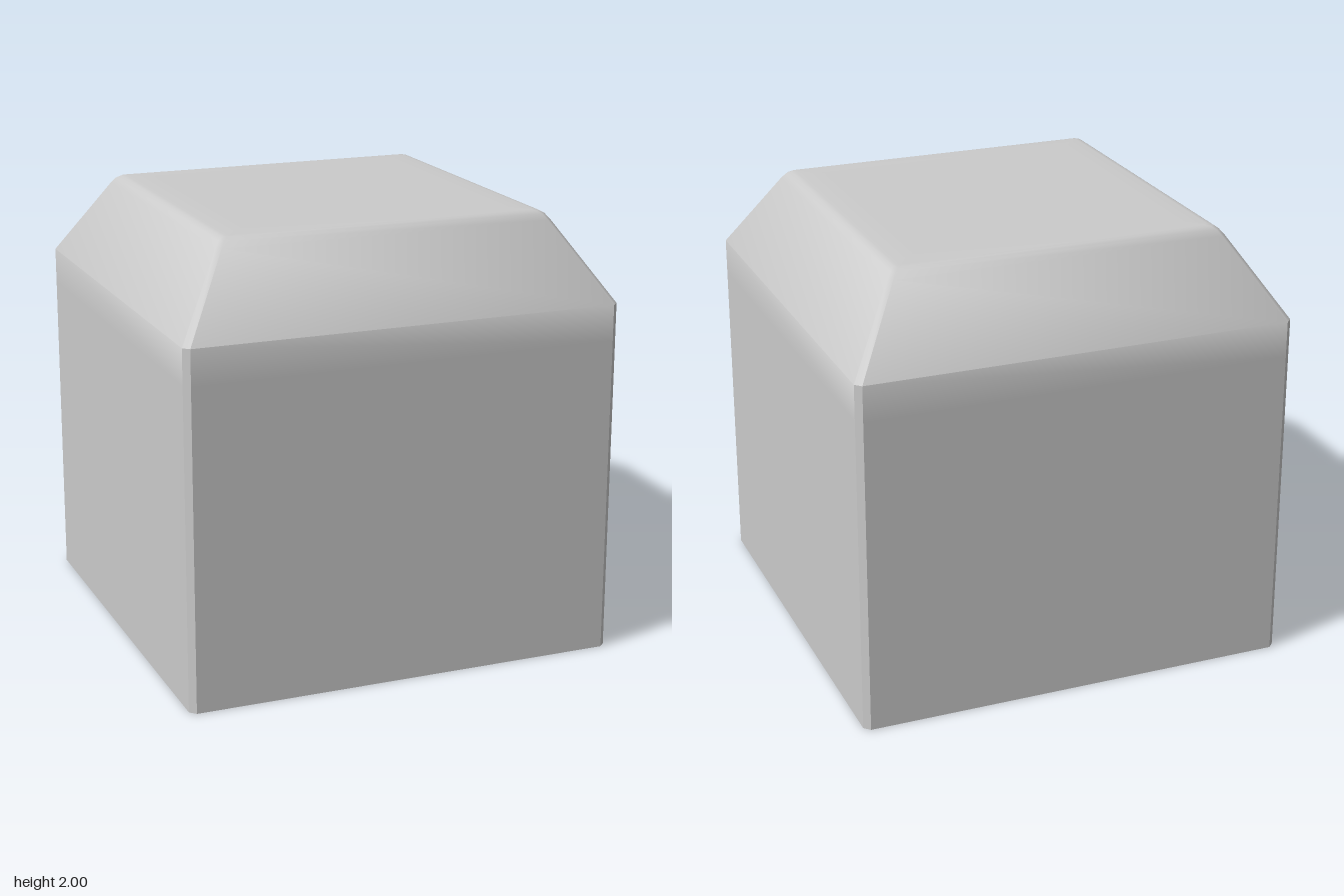
import * as THREE from 'three';
import { toCreasedNormals } from 'three/addons/utils/BufferGeometryUtils.js';

// Square cross-section of half width h at height y, its corners cut by c
function ring(y, h, c) {
  const k = h - c;
  return [[h, -k], [h, k], [k, h], [-k, h], [-h, k], [-h, -k], [-k, -h], [k, -h]]
    .map(([x, z]) => [x, y, z]);
}

// Skin a stack of rings and close both ends
function loft(rings) {
  const pos = [];
  const tri = (a, b, c) => pos.push(...a, ...b, ...c);
  for (let r = 0; r < rings.length - 1; r++) {
    const lo = rings[r], hi = rings[r + 1];
    for (let i = 0; i < 8; i++) {
      const j = (i + 1) % 8;
      tri(lo[i], hi[i], hi[j]);
      tri(lo[i], hi[j], lo[j]);
    }
  }
  const bottom = rings[0], top = rings[rings.length - 1];
  for (let i = 1; i < 7; i++) {
    tri(bottom[0], bottom[i], bottom[i + 1]);
    tri(top[0], top[i + 1], top[i]);
  }
  const geometry = new THREE.BufferGeometry();
  geometry.setAttribute('position', new THREE.Float32BufferAttribute(pos, 3));
  return toCreasedNormals(geometry, 0.7);
}

export function createModel() {
  const group = new THREE.Group();
  group.name = 'bevelledBlock';
  const material = new THREE.MeshStandardMaterial({ color: 0xcccccc });

  // Straight walls, sloping shoulders, rounded rim and flat top
  const sections = [
    [0, 1, 0.027], [1.45, 1, 0.027], [1.61, 1, 0.027],
    [1.96, 0.775, 0.02], [1.985, 0.755, 0.018], [1.997, 0.735, 0.016],
    [2, 0.715, 0.015], [2, 0.6, 0.012],
  ];
  const block = new THREE.Mesh(loft(sections.map((s) => ring(...s))), material);
  block.name = 'block';
  group.add(block);
  return group;
}
